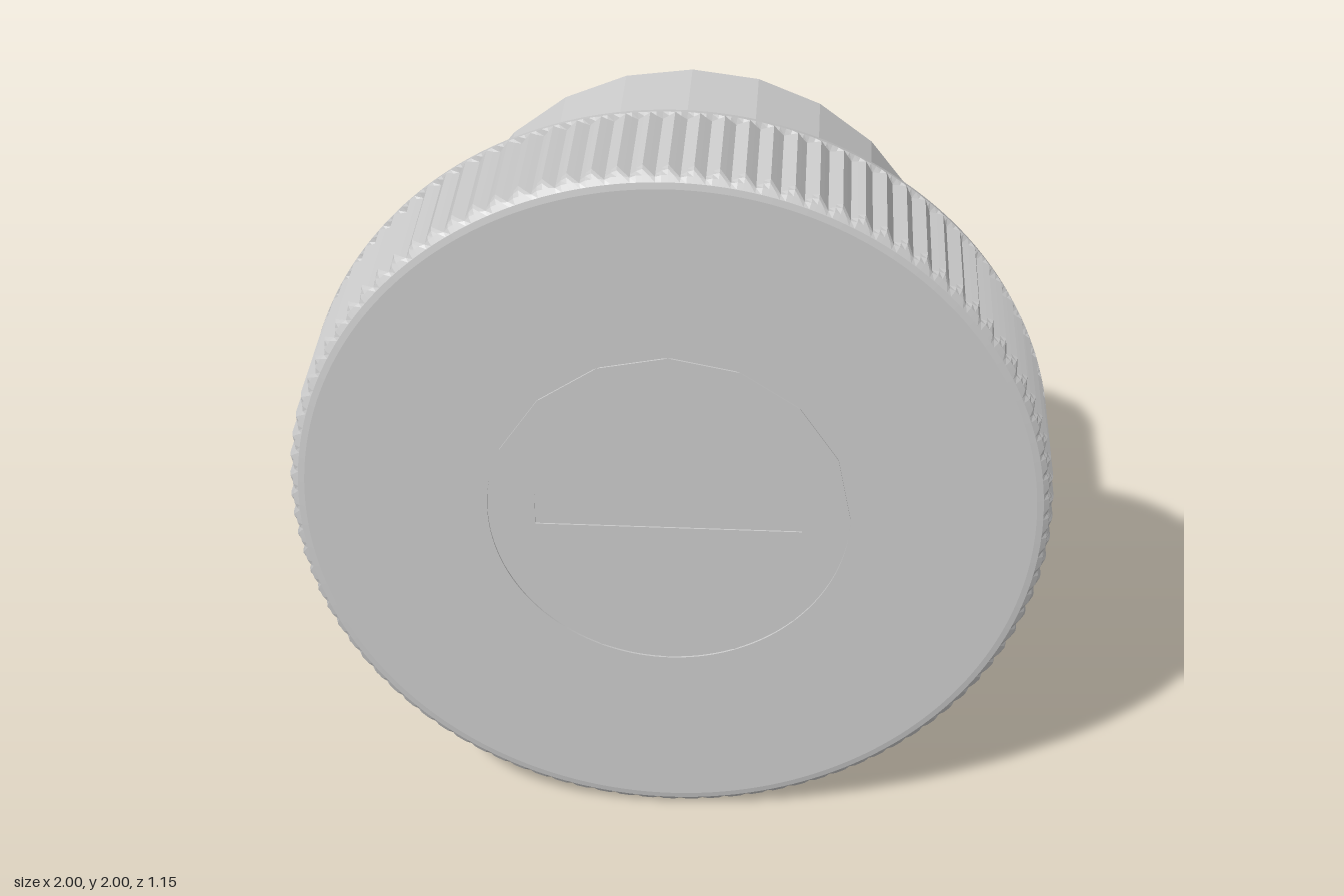
import * as THREE from 'three';

const TEETH = 100, STEPS = 4, GROOVE = 0.018;
const flat = () => new THREE.MeshStandardMaterial({ color: 0xcccccc, flatShading: true });

function part(name, geometry) {
  const mesh = new THREE.Mesh(geometry, flat());
  mesh.name = name;
  return mesh;
}

// Quarter-round corner as profile points [radius, z]
function corner(r, z, size, from, n = 4) {
  return Array.from({ length: n + 1 }, (_, i) => {
    const a = from + (i / n) * Math.PI / 2;
    return [r + size * Math.cos(a), z + size * Math.sin(a)];
  });
}

// Hollow cap turned in one piece, with V grooves pressed into its outer wall
function knurledCap() {
  const profile = [
    [0, 0.40], [0.87, 0.40],                    // inner floor and wall
    ...corner(0.90, 0.23, 0.03, Math.PI),       // inner lip
    ...corner(0.955, 0.245, 0.045, -Math.PI / 2), // outer back edge
    [1, 0.25],
    ...corner(0.955, 0.53, 0.045, 0),           // front edge
    [0.475, 0.575], [0.475, 0.57], [0, 0.57],   // face with shallow seat
  ].map(([r, z]) => new THREE.Vector2(Math.max(r, 0), z));
  const geo = new THREE.LatheGeometry(profile, TEETH * STEPS);
  const pos = geo.attributes.position;
  for (let i = 0; i < pos.count; i++) {
    if (pos.getY(i) < 0.2499) continue;
    const x = pos.getX(i), z = pos.getZ(i), r = Math.hypot(x, z);
    if (r < 0.96) continue;
    const step = Math.floor(i / profile.length) % STEPS;
    const depth = GROOVE * (1 - Math.abs(step - STEPS / 2) / (STEPS / 2));
    const k = Math.min(r, 1 - depth) / r;
    pos.setX(i, x * k);
    pos.setZ(i, z * k);
  }
  return geo.rotateX(Math.PI / 2);
}

// Round centre plate with a straight slot
function centrePlate() {
  const shape = new THREE.Shape();
  for (let i = 0; i < 16; i++) {
    const a = (i / 16) * Math.PI * 2;
    shape[i ? 'lineTo' : 'moveTo'](0.474 * Math.cos(a), 0.474 * Math.sin(a));
  }
  const slot = new THREE.Path();
  slot.moveTo(-0.35, -0.047).lineTo(-0.35, 0.047).lineTo(0.35, 0.047).lineTo(0.35, -0.047);
  shape.holes.push(slot);
  return new THREE.ExtrudeGeometry(shape, { depth: 0.006, bevelEnabled: false }).translate(0, 0, 0.568);
}

export function createModel() {
  const group = new THREE.Group();
  group.name = 'knob';
  const body = new THREE.Group();
  body.name = 'body';
  body.position.y = 1;
  group.add(body);

  body.add(part('knurledCap', knurledCap()));
  body.add(part('centrePlate', centrePlate()));

  // Faceted plug behind the cap
  const plug = new THREE.CylinderGeometry(0.725, 0.725, 0.98, 24).rotateX(Math.PI / 2);
  body.add(part('plug', plug.translate(0, 0, -0.085)));

  // Stop tabs inside the cap, above and below the plug
  for (const side of [1, -1]) {
    const tab = part(side > 0 ? 'upperTab' : 'lowerTab', new THREE.BoxGeometry(0.09, 0.16, 0.14));
    tab.position.set(0, side * 0.8, 0.335);
    body.add(tab);
  }
  return group;
}
